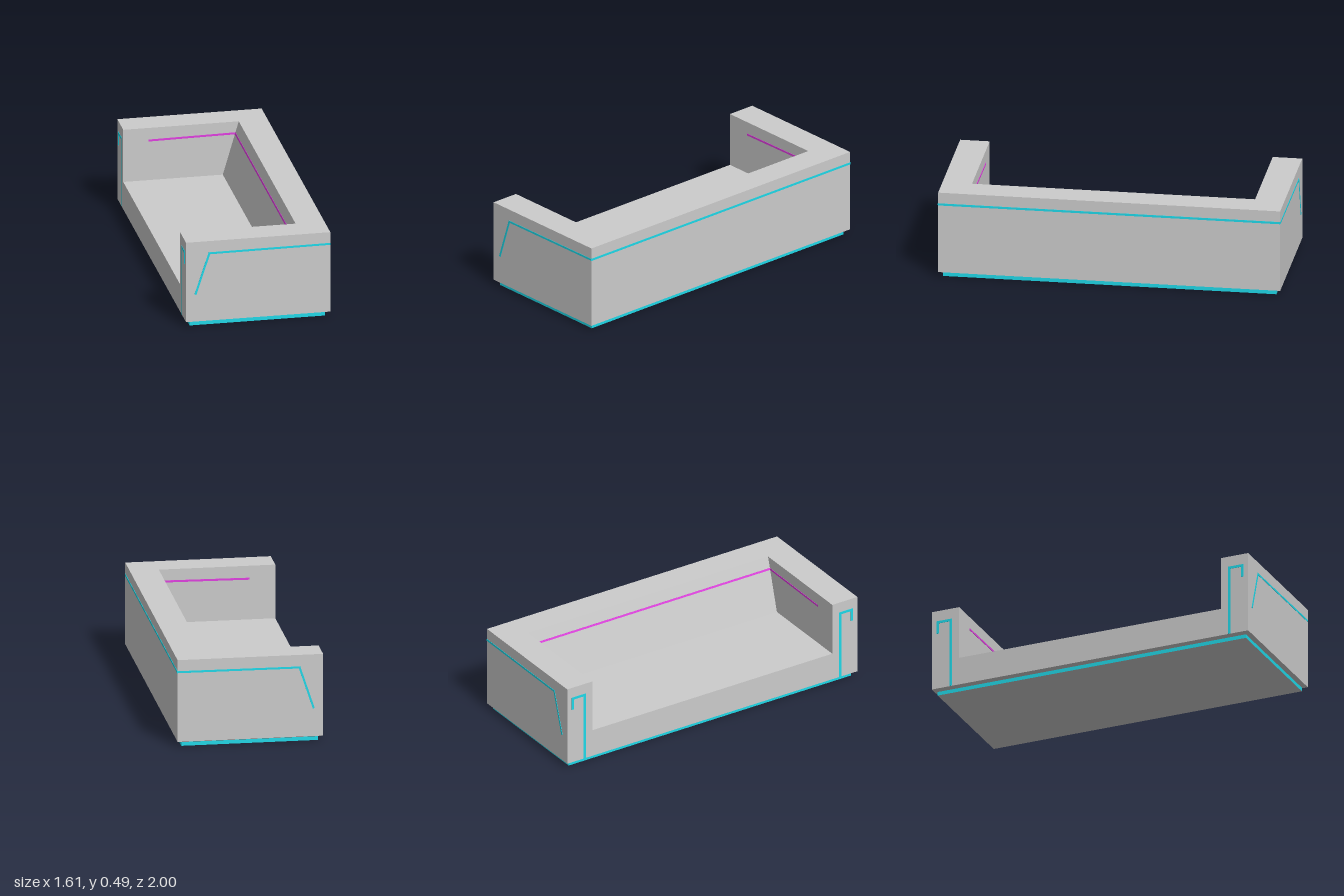
import * as THREE from 'three';

const L = 1.854, W = 0.789;            // sofa length and depth
const ARM = 0.16, IN = L / 2 - ARM;    // arm width, inner face of the arms
const BASE = 0.03, TOP = 0.487, SEAT = 0.187;
const BACK_LOW = -0.15, BACK_TOP = -0.237; // backrest front at seat and at top
const LINE = 0.42;                     // height of the piping

const grey = new THREE.MeshStandardMaterial({ color: 0xcccccc, flatShading: true });
const cyan = new THREE.MeshStandardMaterial({ color: 0x1fd8e8 });
const magenta = new THREE.MeshStandardMaterial({ color: 0xe040e0 });

function add(parent, name, geometry, material, x = 0, y = 0, z = 0) {
  const mesh = new THREE.Mesh(geometry, material);
  mesh.name = name;
  mesh.position.set(x, y, z);
  parent.add(mesh);
  return mesh;
}

// A flat line through 2D points, lying on a face that looks along its own +z
function piping(parent, name, points, material, width, position, rotY, tilt = 0) {
  const line = new THREE.Group();
  line.name = name;
  line.position.set(...position);
  line.rotation.set(tilt, rotY, 0);
  for (let i = 0; i + 1 < points.length; i++) {
    const [ax, ay] = points[i], [bx, by] = points[i + 1];
    const length = Math.hypot(bx - ax, by - ay) + width;
    const bar = add(line, name + 'Segment', new THREE.BoxGeometry(length, width, 0.004),
      material, (ax + bx) / 2, (ay + by) / 2, 0);
    bar.rotation.z = Math.atan2(by - ay, bx - ax);
  }
  parent.add(line);
}

export function createModel() {
  const model = new THREE.Group();
  model.name = 'sofa';
  const sofa = new THREE.Group();
  sofa.name = 'sofaBody';
  sofa.rotation.y = -Math.PI * 2 / 3;
  model.add(sofa);

  // Seat and leaning backrest: one side profile swept between the arms
  const profile = new THREE.Shape([
    [-W / 2, BASE], [W / 2, BASE], [W / 2, SEAT],
    [BACK_LOW, SEAT], [BACK_TOP, TOP], [-W / 2, TOP],
  ].map(([z, y]) => new THREE.Vector2(-z, y)));
  const seat = new THREE.ExtrudeGeometry(profile, { depth: 2 * IN, bevelEnabled: false });
  seat.translate(0, 0, -IN).rotateY(Math.PI / 2);
  add(sofa, 'seatAndBackrest', seat, grey);

  // Chamfered underside narrowing to the plinth
  const inset = 0.024, plinthTop = 0.021;
  const under = new THREE.BoxGeometry(L, BASE - plinthTop, W);
  const p = under.attributes.position;
  for (let i = 0; i < p.count; i++) {
    if (p.getY(i) < 0) {
      p.setX(i, p.getX(i) - Math.sign(p.getX(i)) * inset);
      p.setZ(i, p.getZ(i) - Math.sign(p.getZ(i)) * inset);
    }
  }
  add(sofa, 'underside', under, grey, 0, (BASE + plinthTop) / 2, 0);

  // Plinth with a coloured band on its four sides
  const pl = L - 2 * inset, pw = W - 2 * inset;
  const sides = [cyan, cyan, grey, grey, cyan, cyan];
  add(sofa, 'plinth', new THREE.BoxGeometry(pl, plinthTop, pw), sides, 0, plinthTop / 2, 0);

  for (const s of [1, -1]) {
    const side = s > 0 ? 'left' : 'right';
    add(sofa, side + 'Arm', new THREE.BoxGeometry(ARM, TOP - BASE, W), grey,
      s * (IN + ARM / 2), (TOP + BASE) / 2, 0);

    // Outer side of the arm
    piping(sofa, side + 'OuterPiping',
      [[-0.389, LINE], [0.267, 0.417], [0.342, 0.19]].map(([z, y]) => [-s * z, y]),
      cyan, 0.011, [s * L / 2, 0, 0], s * Math.PI / 2);

    // Hooked line on the front of the arm
    const post = s * (L / 2 - 0.11), hook = s * (L / 2 - 0.035);
    piping(sofa, side + 'FrontPiping',
      [[post, BASE + 0.008], [post, LINE], [hook, LINE], [hook, 0.36]],
      cyan, 0.014, [0, 0, W / 2], 0);

    // Inner side of the arm
    piping(sofa, side + 'InnerPiping', [[s * -0.218, LINE], [s * 0.25, 0.415]],
      magenta, 0.011, [s * IN, 0, 0], -s * Math.PI / 2);
  }

  // Lines along the rear and across the backrest
  piping(sofa, 'rearPiping', [[-L / 2 + 0.006, LINE], [L / 2 - 0.006, LINE]],
    cyan, 0.012, [0, 0, -W / 2], Math.PI);
  const lean = (BACK_TOP - BACK_LOW) / (TOP - SEAT);
  piping(sofa, 'backrestPiping', [[-IN + 0.006, 0], [IN - 0.006, 0]], magenta, 0.011,
    [0, LINE, BACK_LOW + lean * (LINE - SEAT)], 0, Math.atan(lean));

  return model;
}
